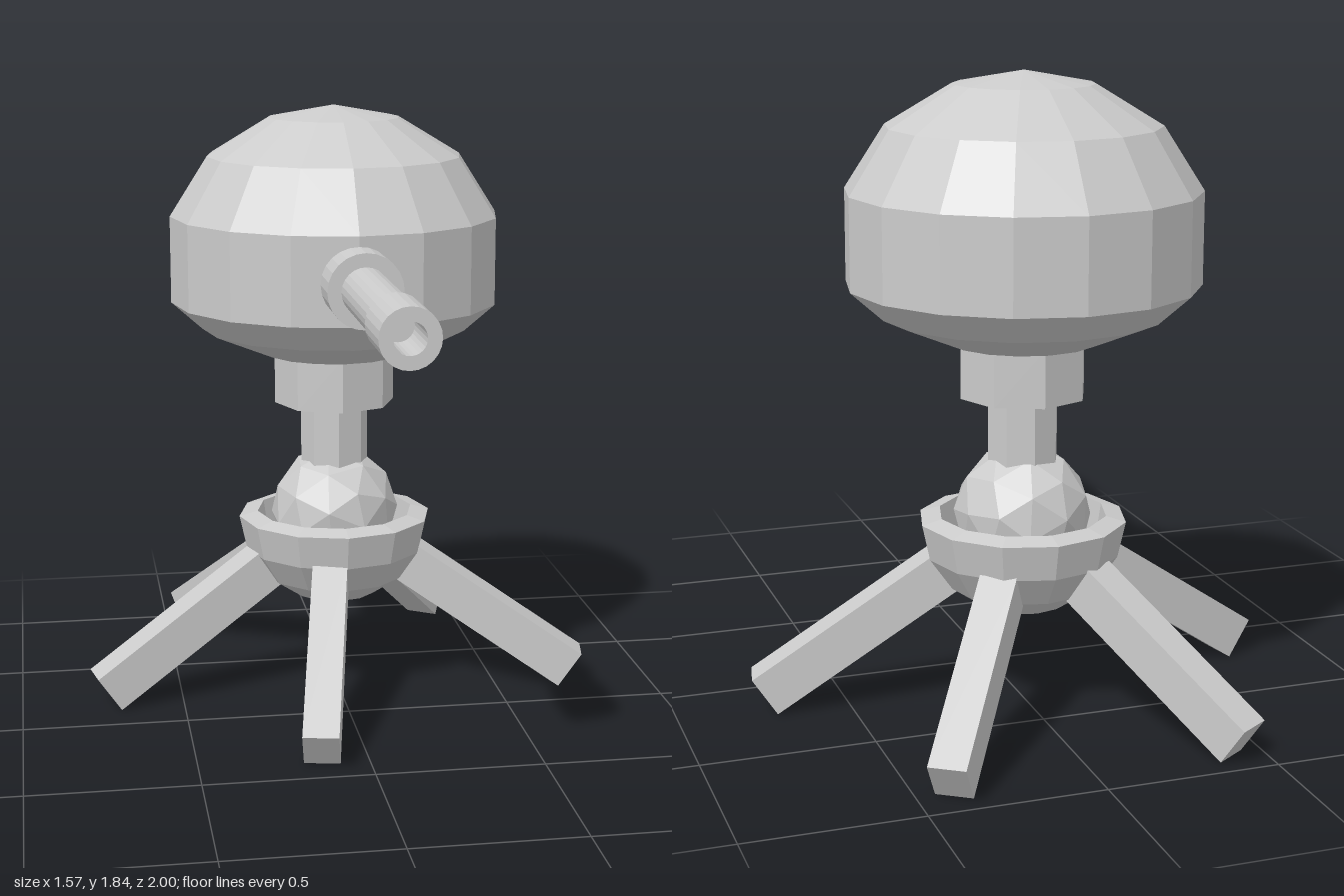
import * as THREE from 'three';

const AXIS_Z = -0.31; // vertical axis of the stand and head

export function createModel() {
  const model = new THREE.Group();
  const material = new THREE.MeshStandardMaterial({ color: 0xcccccc, flatShading: true });

  const add = (name, geometry, x = 0, y = 0, z = AXIS_Z) => {
    const mesh = new THREE.Mesh(geometry, material);
    mesh.name = name;
    mesh.position.set(x, y, z);
    model.add(mesh);
    return mesh;
  };
  const lathe = (points, sides) =>
    new THREE.LatheGeometry(points.map(([r, y]) => new THREE.Vector2(r, y)), sides);

  // Domed head with a chamfered underside
  add('head', lathe([
    [0, 1.08], [0.22, 1.08], [0.41, 1.16], [0.505, 1.245],
    [0.505, 1.51], [0.39, 1.69], [0.2, 1.805], [0, 1.842],
  ], 16));

  // Octagonal collar and neck
  add('collar', new THREE.CylinderGeometry(0.187, 0.187, 0.17, 8), 0, 1.005);
  add('neck', new THREE.CylinderGeometry(0.105, 0.105, 0.26, 8), 0, 0.81);

  // Faceted ball joint sitting in an open socket
  const ball = add('ballJoint', new THREE.IcosahedronGeometry(0.2, 1), 0, 0.57);
  ball.rotation.set(0.1, 0.35, 0.1);

  add('socket', lathe([
    [0, 0.3], [0.13, 0.3], [0.22, 0.36], [0.28, 0.45], [0.303, 0.555],
    [0.245, 0.57], [0.23, 0.47], [0.16, 0.39], [0, 0.36],
  ], 12));

  // Five square legs, with a wider gap between the first and the last
  const tilt = THREE.MathUtils.degToRad(34);
  const length = 0.63;
  const legGeometry = new THREE.BoxGeometry(0.107, 0.129, length);
  legGeometry.translate(0, 0, -length / 2);
  legGeometry.rotateX(tilt);
  legGeometry.translate(0, 0.0535, 0.756);
  for (let i = 0; i < 5; i++) {
    const leg = add('leg' + (i + 1), legGeometry);
    leg.rotation.y = THREE.MathUtils.degToRad(-11.25 - 67.5 * i);
  }

  // Barrel: base ring, tube and hollow muzzle in stepped sections
  const barrelPart = (name, points) =>
    add(name, lathe(points, 24).rotateX(Math.PI / 2), 0, 1.37, 0);
  barrelPart('barrelBase', [[0, 0.175], [0.11, 0.175], [0.11, 0.31], [0, 0.31]]);
  barrelPart('barrelTube', [[0.07, 0.3], [0.07, 0.8]]);
  barrelPart('muzzle', [
    [0.06, 0.79], [0.082, 0.79], [0.082, 1], [0.044, 1], [0.044, 0.82], [0, 0.82],
  ]);

  return model;
}
